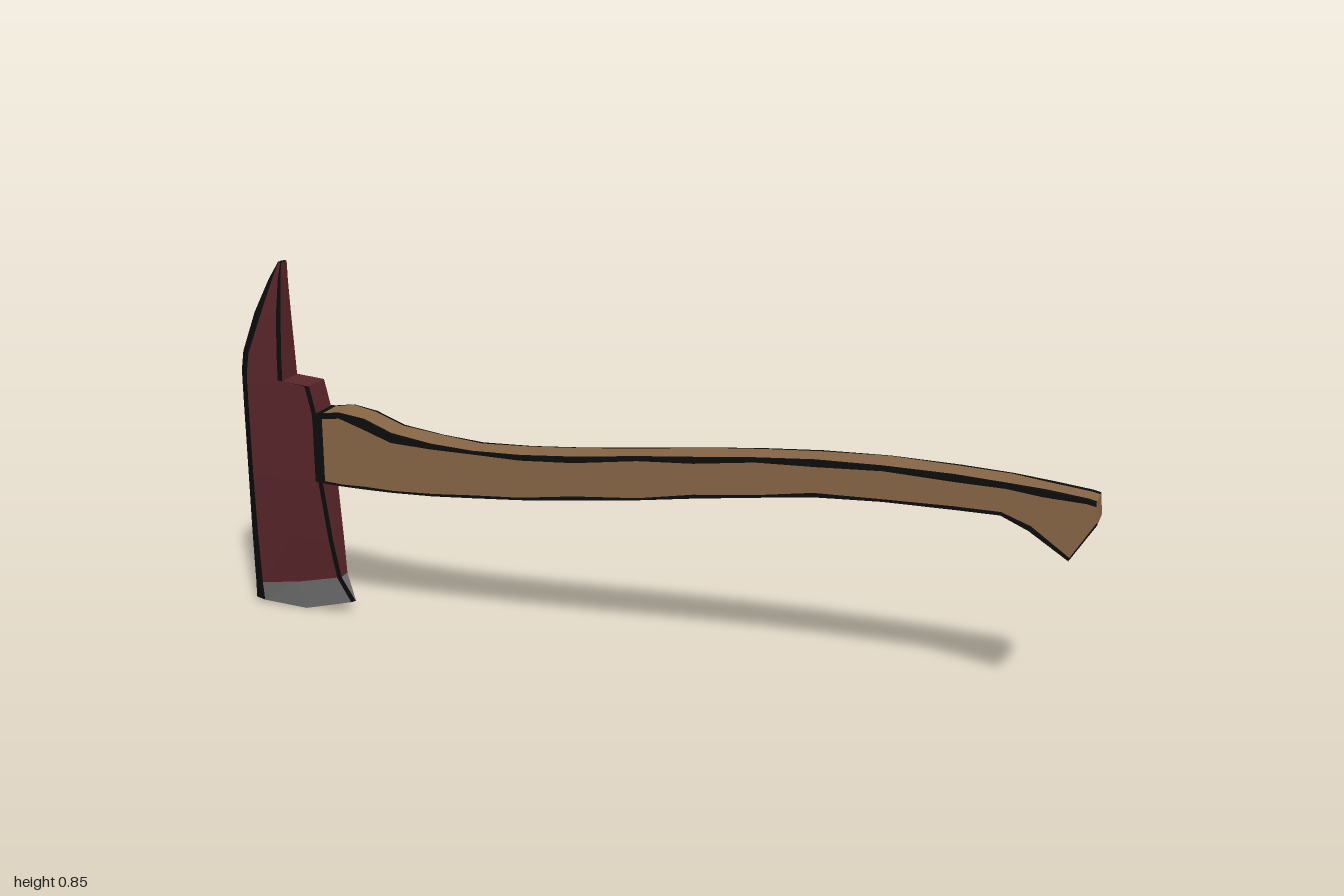
import * as THREE from 'three';

const colour = (name, hex) => {
  const m = new THREE.MeshStandardMaterial({ color: hex });
  m.name = name;
  return m;
};

// Skins closed rings of points; matOf(span, band) picks the material index of each strip.
function loft(name, rings, materials, matOf, capMat) {
  const buckets = materials.map(() => []);
  const tri = (m, a, b, c) => {
    const area = b.clone().sub(a).cross(c.clone().sub(a)).length();
    if (area > 1e-9) for (const p of [a, b, c]) buckets[m].push(p.x, p.y, p.z);
  };
  const n = rings[0].length;
  for (let i = 0; i < rings.length - 1; i++) {
    for (let j = 0; j < n; j++) {
      const k = (j + 1) % n, m = matOf(i, j);
      tri(m, rings[i][j], rings[i][k], rings[i + 1][k]);
      tri(m, rings[i][j], rings[i + 1][k], rings[i + 1][j]);
    }
  }
  // End caps as fans around the ring centre
  [rings[0], rings[rings.length - 1]].forEach((ring, end) => {
    const centre = new THREE.Vector3();
    ring.forEach((p) => centre.addScaledVector(p, 1 / n));
    for (let j = 0; j < n; j++) {
      const a = ring[j], b = ring[(j + 1) % n];
      if (end) tri(capMat, centre, a, b);
      else tri(capMat, centre, b, a);
    }
  });
  const geo = new THREE.BufferGeometry();
  geo.setAttribute('position', new THREE.Float32BufferAttribute(buckets.flat(), 3));
  let start = 0;
  buckets.forEach((b, m) => {
    geo.addGroup(start, b.length / 3, m);
    start += b.length / 3;
  });
  geo.computeVertexNormals();
  const mesh = new THREE.Mesh(geo, materials);
  mesh.name = name;
  return mesh;
}

export function createModel() {
  const red = colour('red paint', 0x58252a);
  const wood = colour('wood', 0x866545);
  const steel = colour('bare steel', 0x737373);
  const ink = colour('black edging', 0x0c0c0c);
  const V = (x, y, z) => new THREE.Vector3(x, y, z);
  const model = new THREE.Group();
  model.name = 'axe';

  // Handle: top x, top y, bottom x, bottom y, upper edging, lower edging
  const handleSections = [
    [-0.8, 0.516, -0.8, 0.35, 0.01, 0.008],
    [-0.775, 0.518, -0.775, 0.348, 0.012, 0.006],
    [-0.73, 0.525, -0.73, 0.346, 0.014, 0.005],
    [-0.67, 0.515, -0.67, 0.345, 0.024, 0.007],
    [-0.6, 0.488, -0.6, 0.345, 0.022, 0.005],
    [-0.5, 0.474, -0.5, 0.348, 0.013, 0.006],
    [-0.4, 0.466, -0.4, 0.355, 0.006, 0.007],
    [-0.28, 0.47, -0.28, 0.364, 0.012, 0.006],
    [-0.15, 0.48, -0.15, 0.378, 0.014, 0.01],
    [0, 0.496, 0, 0.396, 0.009, 0.005],
    [0.13, 0.51, 0.13, 0.415, 0.015, 0.009],
    [0.27, 0.523, 0.27, 0.433, 0.01, 0.006],
    [0.4, 0.532, 0.4, 0.449, 0.015, 0.01],
    [0.55, 0.536, 0.55, 0.456, 0.012, 0.006],
    [0.7, 0.532, 0.7, 0.456, 0.015, 0.008],
    [0.81, 0.526, 0.8, 0.455, 0.012, 0.008],
    [0.89, 0.518, 0.86, 0.428, 0.014, 0.012],
    [0.975, 0.508, 0.945, 0.372, 0.008, 0.008],
    [0.993, 0.504, 0.998, 0.457, 0.008, 0.006],
  ];
  const H = 0.038;
  const handleRings = handleSections.map(([xt, yt, xb, yb, a, b], i) => {
    const e = i > 15 ? 0.014 : 0.006 + 0.003 * Math.sin(i * 2.3);
    const T = (z) => V(xt, yt, z), B = (z) => V(xb, yb, z);
    const len = Math.hypot(xt - xb, yt - yb);
    const side = (t, z) => V(xt, yt, z).lerp(V(xb, yb, z), t);
    return [
      T(-H), T(-H + e), T(H - e), T(H),
      side(a / len, H), side(1 - b / len, H),
      B(H), B(H - e), B(-H + e), B(-H),
      side(1 - b / len, -H), side(a / len, -H),
    ];
  });
  model.add(loft('handle', handleRings, [wood, ink],
    (i, j) => (i > 0 && j % 3 === 1 ? 0 : 1), 0));

  // Head, from cutting edge to spike tip: poll x, y, inner x, y, half thickness, edge sag
  const headSections = [
    [-1, 0.02, -0.73, 0.045, 0.001, 0.024],
    [-0.995, 0.065, -0.757, 0.108, 0.015, 0.006],
    [-0.993, 0.2, -0.768, 0.2, 0.026, 0],
    [-0.99, 0.35, -0.783, 0.35, 0.035, 0],
    [-0.99, 0.515, -0.79, 0.515, 0.036, 0],
    [-0.99, 0.57, -0.805, 0.58, 0.036, 0],
    [-0.99, 0.6, -0.875, 0.586, 0.035, 0],
    [-0.984, 0.645, -0.876, 0.645, 0.032, 0],
    [-0.95, 0.74, -0.876, 0.74, 0.024, 0],
    [-0.91, 0.82, -0.875, 0.82, 0.017, 0],
    [-0.884, 0.862, -0.873, 0.862, 0.013, 0],
  ];
  const headRings = headSections.map(([xl, yl, xr, yr, h, sag]) => {
    const len = xr - xl;
    const at = (t, z) => V(xl + len * t, yl + (yr - yl) * t - sag * 4 * t * (1 - t), z);
    const bevel = Math.min(0.022 / len, 0.35), rim = 1 - Math.min(0.012 / len, 0.2);
    const front = [at(0, h * 0.55), at(bevel, h), at(0.5, h), at(rim, h), at(1, h)];
    const back = front.map((p) => V(p.x, p.y, -p.z)).reverse();
    return [...front, ...back];
  });
  const edging = [0, 3, 5, 8];
  model.add(loft('axeHead', headRings, [red, steel, ink],
    (i, j) => (edging.includes(j) ? 2 : i === 0 ? 1 : 0), 2));

  return model;
}
